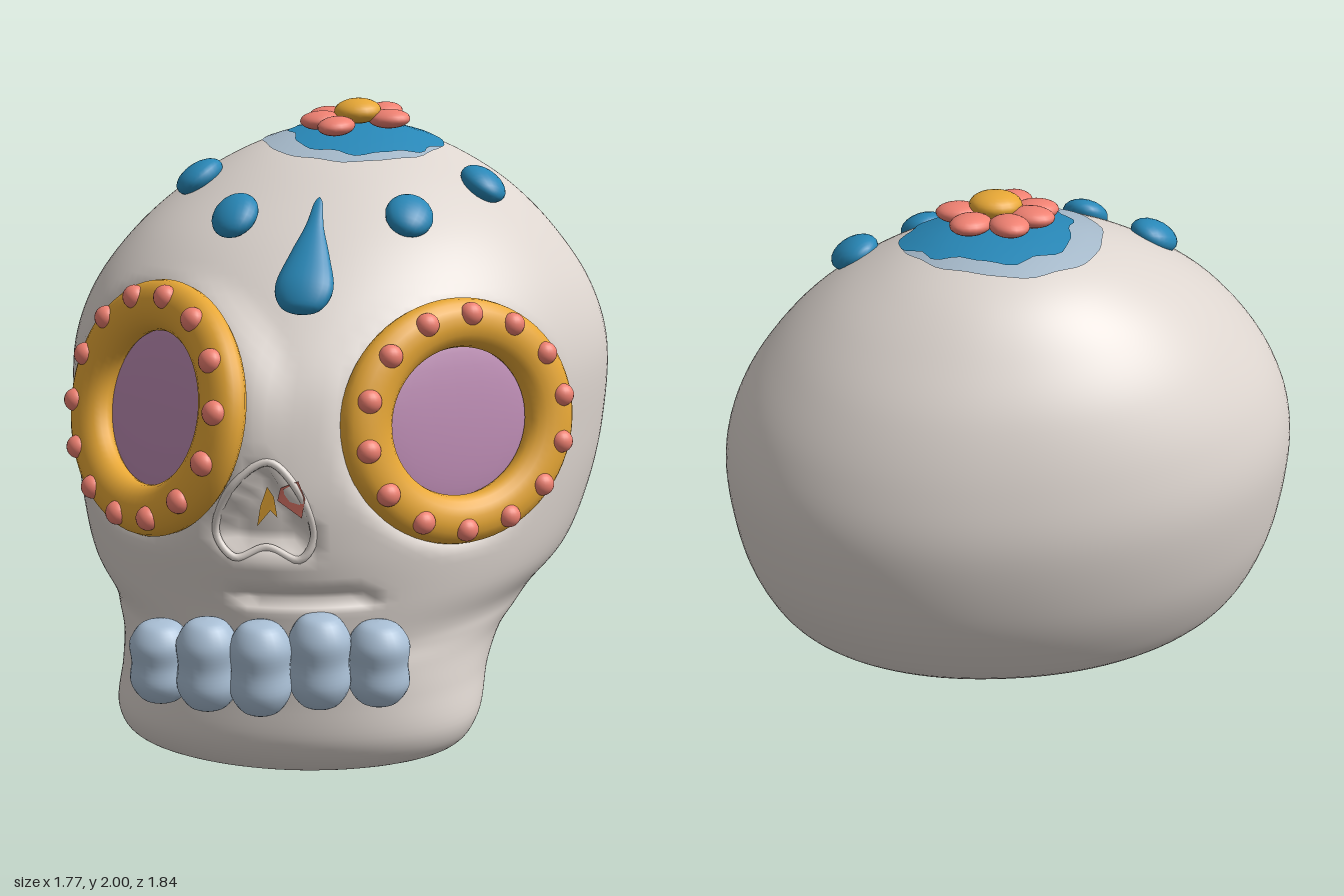
import * as THREE from 'three';

const { smoothstep, lerp } = THREE.MathUtils;
const mat = (color) => new THREE.MeshStandardMaterial({ color });
const bone = mat(0xddd5cf), gold = mat(0xe8a836), coral = mat(0xf08172), mauve = mat(0xbd8cb4);
const blue = mat(0x2888b8), paleBlue = mat(0xaac0d6), paleGrey = mat(0xa6bacb);

// Skull levels: height, half width, front z, back z, z of widest point, front roundness
const LEVELS = [
  [0, 0, .5, .5, .5, 2], [.015, .3, .66, .32, .49, 2], [.05, .49, .72, .25, .48, 2.05],
  [.14, .565, .765, .15, .45, 2.1], [.27, .575, .77, .0, .34, 2.15], [.36, .6, .77, -.1, .21, 2.15],
  [.42, .645, .76, -.27, .09, 2.1], [.475, .69, .77, -.54, -.02, 2.05], [.58, .78, .78, -.7, -.08, 1.95],
  [.75, .84, .81, -.81, -.13, 1.82], [.95, .875, .81, -.885, -.16, 1.74], [1.2, .88, .74, -.92, -.18, 1.78],
  [1.4, .815, .6, -.89, -.2, 1.88], [1.58, .685, .42, -.82, -.23, 2], [1.72, .535, .23, -.72, -.27, 2],
  [1.82, .375, .06, -.62, -.29, 2], [1.88, .23, -.1, -.51, -.3, 2], [1.905, .1, -.22, -.4, -.31, 2],
  [1.91, 0, -.31, -.31, -.31, 2],
];

// Local frame of one eye
function eyeFrame(name, x, y, z, yaw, tilt, size) {
  const g = new THREE.Group();
  g.name = name;
  g.position.set(x, y, z);
  g.rotation.set(-tilt, yaw, 0, 'YXZ');
  g.scale.setScalar(size);
  g.updateMatrixWorld();
  return g;
}

// Press flat eye sockets, the nose hollow and the mouth slit into the surface
function sculpt(p, eyes) {
  for (const eye of eyes) {
    const q = eye.worldToLocal(p.clone());
    if (q.z < -.35) continue;
    const e = Math.hypot(q.x / .33, q.y / .295);
    const t = 1 - smoothstep(e, 1, 1.36);
    q.z = lerp(q.z, e < .8 ? -.06 : -.03, t);
    p.copy(eye.localToWorld(q));
  }
  if (p.z > .4) {
    const half = Math.min(.13, .14 * (1.01 - p.y) / .2);
    const nose = smoothstep(half - Math.abs(p.x + .015), -.02, .03) * smoothstep(p.y, .73, .78);
    const slit = smoothstep(.22 - Math.abs(p.x - .09), 0, .06) * Math.exp(-(((p.y - .6) / .018) ** 2));
    p.z -= .055 * nose + .045 * slit;
  }
}

function skullGeometry(eyes) {
  const rows = 120, cols = 128, pos = [], index = [], p = new THREE.Vector3();
  const spline = (k) => new THREE.CatmullRomCurve3(
    LEVELS.map((l) => new THREE.Vector3(l[k], l[k + 1], l[k + 2])), false, 'catmullrom', .5);
  const lower = spline(0), upper = spline(3);
  for (let i = 0; i <= rows; i++) {
    const { x: y, y: w, z: front } = lower.getPoint(i / rows);
    const { x: back, y: mid, z: n } = upper.getPoint(i / rows);
    for (let j = 0; j < cols; j++) {
      const a = j / cols * Math.PI * 2, c = Math.cos(a), s = Math.sin(a);
      const k = 2 / (s > 0 ? n : 2.12);
      const x = w * Math.sign(c) * Math.abs(c) ** k;
      const z = mid + (s > 0 ? front - mid : back - mid) * Math.abs(s) ** k;
      p.set(x, y, z - .1 * x); // the head is slightly askew
      sculpt(p, eyes);
      pos.push(p.x, Math.max(0, p.y), p.z);
      if (i < rows) {
        const b = i * cols, j2 = (j + 1) % cols;
        index.push(b + j, b + cols + j, b + cols + j2, b + j, b + cols + j2, b + j2);
      }
    }
  }
  const g = new THREE.BufferGeometry();
  g.setAttribute('position', new THREE.Float32BufferAttribute(pos, 3));
  g.setIndex(index);
  g.computeVertexNormals();
  return g;
}

// Turned shape through a few [radius, height] points
const turned = (pts) => new THREE.LatheGeometry(
  new THREE.SplineCurve(pts.map((p) => new THREE.Vector2(...p))).getPoints(30), 24);

export function createModel() {
  const model = new THREE.Group();
  const add = (name, geo, material, parent = model) => {
    const m = new THREE.Mesh(geo, material);
    m.name = name;
    parent.add(m);
    return m;
  };
  const ball = new THREE.SphereGeometry(1, 20, 14);
  const blob = (name, material, pos, size, parent) => {
    const m = add(name, ball, material, parent);
    m.position.set(...pos);
    m.scale.set(...size);
    return m;
  };

  const eyes = [
    eyeFrame('leftEye', .5, 1.085, .44, .757, .14, 1),
    eyeFrame('rightEye', -.41, 1.115, .59, -.67, .22, 1.05),
  ];
  const skull = add('skull', skullGeometry(eyes), bone);

  // Eyes: gold ring, mauve socket and a circle of beads
  for (const eye of eyes) {
    model.add(eye);
    add('eyeRing', new THREE.TorusGeometry(1, .25, 18, 64), gold, eye).scale.set(.33, .295, .22);
    blob('eyeSocket', mauve, [0, 0, -.04], [.29, .26, .03], eye);
    for (let i = 0; i < 14; i++) {
      const a = (i + .3) / 14 * Math.PI * 2;
      blob('eyeBead', coral, [.355 * Math.cos(a), .32 * Math.sin(a), .045], [.037, .035, .032], eye);
    }
  }

  // Finds the skull surface from the front or from above
  const ray = new THREE.Raycaster();
  const surface = (from, dir) => {
    ray.set(from, dir);
    return ray.intersectObject(skull)[0]?.point ?? new THREE.Vector3(from.x, 1.91, from.z);
  };
  const fromFront = (x, y) => surface(new THREE.Vector3(x, y, 3), new THREE.Vector3(0, 0, -1));
  const fromAbove = (x, z) => surface(new THREE.Vector3(x, 3, z), new THREE.Vector3(0, -1, 0));

  // Nose rim and coloured flecks in the hollow
  const rim = [[0, 1.02], [.08, .95], [.13, .8], [.09, .73], [-.01, .76], [-.1, .73], [-.16, .8], [-.1, .95]];
  add('noseRim', new THREE.TubeGeometry(new THREE.CatmullRomCurve3(
    rim.map(([x, y]) => fromFront(x, y)), true), 64, .012, 8, true), bone);
  const fleck = (name, material, pts) => {
    const g = new THREE.ShapeGeometry(new THREE.Shape(pts.map((p) => new THREE.Vector2(...p))));
    const a = g.attributes.position;
    for (let i = 0; i < a.count; i++) a.setZ(i, fromFront(a.getX(i), a.getY(i)).z + .012);
    g.computeVertexNormals();
    add(name, g, material);
  };
  fleck('goldFleck', gold, [[-.04, .82], [0, .87], [.02, .85], [.01, .91], [-.01, .94], [-.03, .88]]);
  fleck('coralFleck', coral, [[.02, .9], [.1, .86], [.11, .92], [.09, .97], [.04, .95]]);

  // Five waisted teeth along the curve of the mouth
  const toothGeo = turned([[0, -.14], [.055, -.128], [.09, -.07], [.086, 0], [.09, .07], [.055, .128], [0, .14]]);
  [[-.335, .39, .8, .9], [-.18, .405, .83, 1], [-.02, .405, .825, 1.02], [.145, .42, .77, 1.03], [.31, .405, .71, .92]]
    .forEach(([x, y, z, size]) => {
      const tooth = add('tooth', toothGeo, paleBlue);
      tooth.position.set(x, y, z);
      tooth.scale.set(1.02, size, .95);
    });

  // Forehead dots and drop
  for (const [x, y, z, r] of [[-.43, 1.755, .02, .6], [-.22, 1.67, .34, .4],
    [.3, 1.67, .225, -.5], [.48, 1.74, -.1, -.7]]) {
    const dot = blob('foreheadDot', blue, [x, y, z], [.075, .09, .045]);
    dot.lookAt(x * 2, y * 2 - .9, z * 2 + .2);
    dot.rotateZ(r);
  }
  const drop = add('foreheadDrop', turned(
    [[0, -.18], [.06, -.16], [.088, -.09], [.06, .02], [.028, .12], [.014, .2], [0, .225]]), blue);
  drop.position.set(.05, 1.56, .5);
  drop.rotation.x = -.68;
  drop.scale.z = .48;

  // Irregular painted patches hugging the crown
  const patch = (name, material, cx, cz, radius, rough, lift) => {
    const g = new THREE.RingGeometry(.001, 1, 56, 7);
    const a = g.attributes.position;
    for (let i = 0; i < a.count; i++) {
      const t = Math.atan2(a.getY(i), a.getX(i));
      const r = radius * (1 + rough * (Math.sin(3 * t + 1) + .6 * Math.sin(8 * t) + .4 * Math.sin(13 * t + 2)));
      const x = cx + a.getX(i) * r, z = cz - a.getY(i) * r;
      a.setXYZ(i, x, fromAbove(x, z).y + lift, z);
    }
    g.computeVertexNormals();
    add(name, g, material);
  };
  patch('crownPatchPale', paleGrey, .02, -.225, .295, .02, .006);
  patch('crownPatchBlue', blue, .06, -.225, .25, .06, .012);

  // Flower floating over the crown, tipped forward
  const flower = new THREE.Group();
  flower.name = 'flower';
  flower.position.set(.045, 1.935, -.215);
  flower.rotation.x = .15;
  model.add(flower);
  for (const [x, z] of [[-.045, -.125], [.065, -.115], [.105, 0], [-.045, .125], [-.115, .04], [-.105, -.035]]) {
    const petal = blob('petal', coral, [x, 0, z], [.058, .03, .07], flower);
    petal.rotation.y = Math.atan2(x, z);
  }
  blob('flowerCentre', gold, [0, .025, 0], [.078, .04, .078], flower);
  return model;
}
